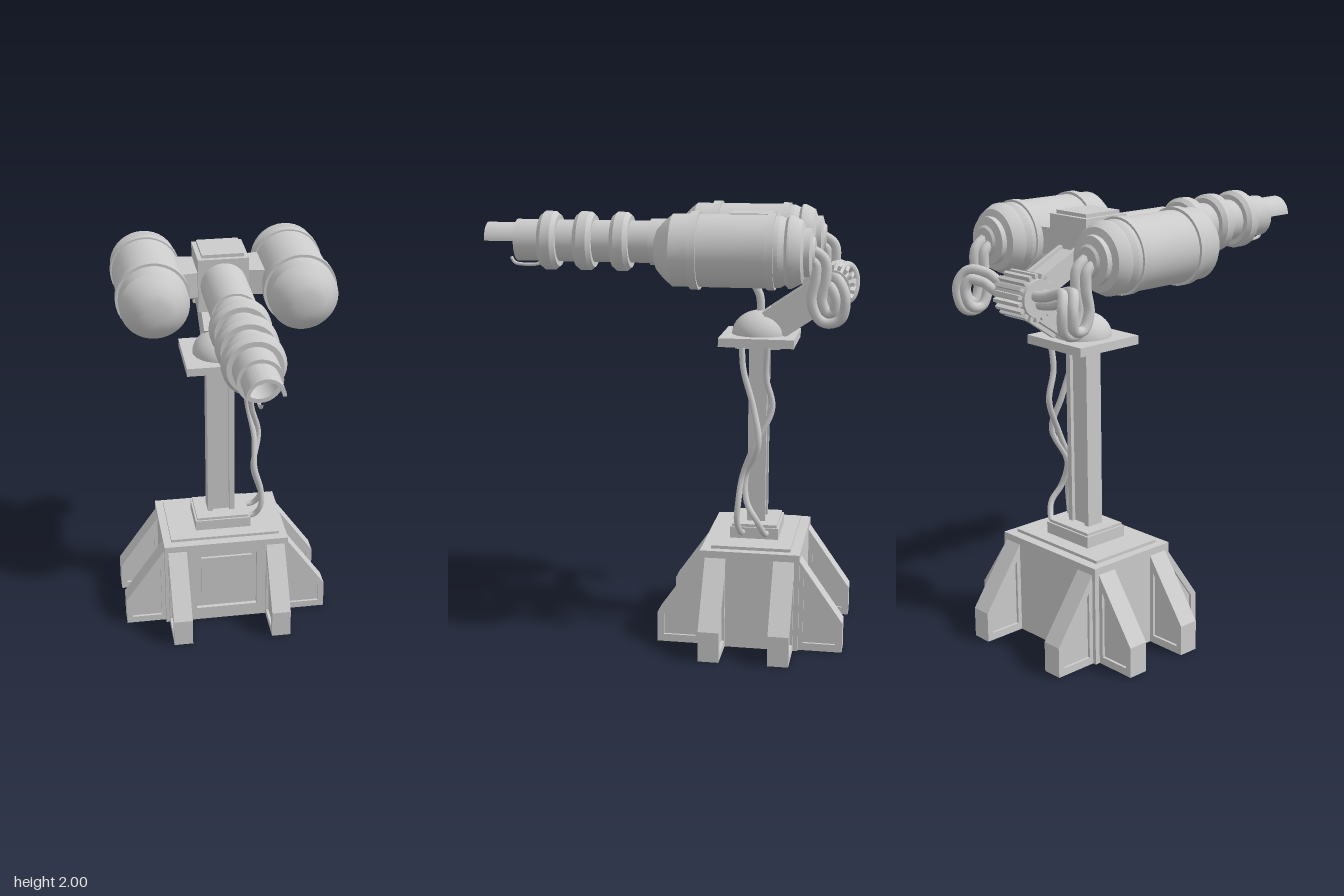
import * as THREE from 'three';
import { toCreasedNormals } from 'three/addons/utils/BufferGeometryUtils.js';

const MID = -0.428;   // z of the stand's axis
const AXIS = 1.828;   // height of barrel and tanks
const GREY = new THREE.MeshStandardMaterial({ color: 0xcccccc });
const GREY_OPEN = new THREE.MeshStandardMaterial({ color: 0xcccccc, side: THREE.DoubleSide });
const V = (x, y, z) => new THREE.Vector3(x, y, z);

export function createModel() {
  const root = new THREE.Group();

  const add = (name, geo, x = 0, y = 0, z = 0, parent = root, mat = GREY) => {
    const m = new THREE.Mesh(geo, mat);
    m.name = name;
    m.position.set(x, y, z);
    parent.add(m);
    return m;
  };
  // box given by size, bottom height and centre
  const block = (name, w, h, d, y, z = MID, x = 0) =>
    add(name, new THREE.BoxGeometry(w, h, d), x, y + h / 2, z);
  // turned part along z; profile is [radius, z] with z rising on the outside
  const turned = (name, profile, x, y, z, seg = 32) => {
    const g = new THREE.LatheGeometry(profile.map(p => new THREE.Vector2(...p)), seg);
    g.rotateX(Math.PI / 2);
    return add(name, toCreasedNormals(g, 0.5), x, y, z);
  };
  const poly = pts => pts.map(p => new THREE.Vector2(...p));
  const plate = (outer, hole, depth) => {
    const s = new THREE.Shape(poly(outer));
    if (hole) s.holes.push(new THREE.Path(poly(hole)));
    return new THREE.ExtrudeGeometry(s, { depth, bevelEnabled: false }).translate(0, 0, -depth / 2);
  };
  const rect = (x, y0, y1) => [[-x, y0], [x, y0], [x, y1], [-x, y1]];
  const tube = (name, pts, r, seg = 60) =>
    add(name, new THREE.TubeGeometry(new THREE.CatmullRomCurve3(pts), seg, r, 8));

  // Base body with a recessed front panel
  block('baseBody', 0.63, 0.458, 0.436, 0, MID - 0.01);
  add('baseFront', plate(rect(0.315, 0, 0.458), rect(0.155, 0.07, 0.39), 0.02), 0, 0, -0.21);
  block('frontPanel', 0.26, 0.28, 0.02, 0.09, -0.217);
  block('baseLid', 0.55, 0.014, 0.365, 0.458);
  block('columnSocket', 0.28, 0.055, 0.225, 0.47);
  block('columnSocketTop', 0.262, 0.014, 0.208, 0.524);

  // Eight buttress feet, two per side, with recessed cheeks
  const finOuter = [[-0.02, 0], [0.2, 0], [0.2, 0.14], [0, 0.425], [-0.02, 0.425]];
  const finHole = [[0.02, 0.035], [0.17, 0.035], [0.17, 0.135], [0.02, 0.345]];
  const finFrame = plate(finOuter, finHole, 0.095);
  const finCore = plate(finOuter.map(([u, v]) => [u * 0.95, v * 0.95 + 0.005]), null, 0.07);
  const buttress = (x, z, turn) => {
    const g = new THREE.Group();
    g.name = 'buttress';
    g.position.set(x, 0, z);
    g.rotation.y = turn;
    add('buttressFrame', finFrame, 0, 0, 0, g);
    add('buttressCore', finCore, 0, 0, 0, g);
    root.add(g);
  };
  for (const s of [1, -1]) for (const t of [1, -1]) {
    buttress(s * 0.315, MID + t * 0.157, s > 0 ? 0 : Math.PI);
    buttress(t * 0.25, MID + s * 0.228, -s * Math.PI / 2);
  }

  // Column: H-beam
  block('columnWeb', 0.11, 0.83, 0.05, 0.535);
  for (const s of [1, -1]) block('columnFlange', 0.026, 0.83, 0.085, 0.535, MID, s * 0.055);

  // Head plate and dome
  block('headPlateUnderside', 0.21, 0.02, 0.205, 1.36);
  block('headPlate', 0.356, 0.04, 0.343, 1.378);
  const dome = add('dome', new THREE.SphereGeometry(0.13, 32, 12, 0, Math.PI * 2, 0, Math.PI / 2), 0, 1.417, MID);
  dome.scale.y = 0.84;

  // Folding arm: a lower and an upper link, each with raised rims
  const link = (name, a, b, width, thick) => {
    const d = b.clone().sub(a), len = d.length();
    const g = new THREE.Group();
    g.name = name;
    g.position.copy(a).add(b).multiplyScalar(0.5);
    g.rotation.x = Math.atan2(-d.y, d.z);
    add('linkCore', new THREE.BoxGeometry(width * 0.7, thick * 0.75, len), 0, 0, 0, g);
    for (const s of [1, -1]) {
      add('linkRail', new THREE.BoxGeometry(width * 0.18, thick, len), s * width * 0.41, 0, 0, g);
      add('linkEnd', new THREE.BoxGeometry(width * 0.7, thick, 0.03), 0, 0, s * (len / 2 - 0.015), g);
    }
    root.add(g);
  };
  const hub = V(0, 1.645, -0.755);
  link('lowerArm', V(0, 1.46, -0.485), hub, 0.14, 0.15);
  link('upperArm', V(0, 1.8, -0.44), V(0, 1.66, -0.73), 0.12, 0.1);

  // Ribbed elbow hub
  add('elbowHub', toCreasedNormals(new THREE.CylinderGeometry(0.082, 0.082, 0.2, 32).rotateZ(Math.PI / 2), 0.5), 0, hub.y, hub.z);
  const ribs = new THREE.Group();
  ribs.name = 'elbowRibs';
  ribs.position.copy(hub);
  for (let i = 0; i < 18; i++) {
    const a = i / 18 * Math.PI * 2;
    const rib = add('rib', new THREE.BoxGeometry(0.17, 0.03, 0.016), 0, Math.cos(a) * 0.088, Math.sin(a) * 0.088, ribs);
    rib.rotation.x = a;
  }
  root.add(ribs);

  // Receiver block with stepped top and side brackets to the tanks
  block('receiver', 0.236, 0.255, 0.235, 1.7, -0.388);
  block('receiverTop', 0.195, 0.018, 0.195, 1.953, -0.388);
  for (const s of [1, -1]) {
    const bracket = plate([[0, -0.1], [0.1, -0.115], [0.1, 0.115], [0, 0.1]], null, 0.12);
    bracket.rotateX(Math.PI / 2);
    const m = add('tankBracket', bracket, s * 0.11, AXIS, -0.388);
    m.rotation.z = s > 0 ? 0 : Math.PI;
  }

  // Barrel, sleeve, rings and cut-away muzzle
  turned('barrelSleeve', [[0, -0.3], [0.107, -0.3], [0.107, 0.08], [0.09, 0.08]], 0, AXIS, 0);
  turned('barrel', [[0.097, 0], [0.097, 0.715], [0.078, 0.715], [0.078, 0.6], [0, 0.6]], 0, AXIS, 0);
  for (const z of [0.215, 0.387, 0.556])
    turned('barrelRing', [[0.095, -0.042], [0.12, -0.042], [0.136, -0.022], [0.136, 0.022], [0.12, 0.042], [0.095, 0.042]], 0, AXIS, z);
  const half = new THREE.Shape();
  half.absarc(0, 0, 0.081, 0, Math.PI, false);
  half.absarc(0, 0, 0.066, Math.PI, 0, true);
  add('muzzleShroud', toCreasedNormals(new THREE.ExtrudeGeometry(half, { depth: 0.255, bevelEnabled: false, curveSegments: 20 }), 0.5), 0, AXIS, 0.603, root, GREY_OPEN);
  tube('muzzleHook', [V(0, 1.735, 0.6), V(0, 1.718, 0.62), V(0, 1.715, 0.71), V(0, 1.722, 0.735), V(0, 1.748, 0.752)], 0.008, 24);

  // Twin tanks and their hose bundles
  const tank = [[0, -0.7], [0.06, -0.7], [0.07, -0.69], [0.105, -0.68], [0.105, -0.655], [0.135, -0.645], [0.158, -0.6], [0.158, -0.588], [0.142, -0.575],
    [0.155, -0.55], [0.155, -0.53], [0.165, -0.53], [0.165, -0.495], [0.158, -0.495],
    [0.158, -0.2], [0.17, -0.2], [0.17, -0.163], [0.158, -0.163], [0.158, -0.082], [0.127, -0.045], [0.09, -0.012], [0.053, 0], [0, 0]];
  for (const s of [1, -1]) {
    turned('tank', tank, s * 0.338, AXIS, 0, 36);
    const path = new THREE.CatmullRomCurve3([
      [0.335, 1.82, -0.68], [0.335, 1.79, -0.72], [0.335, 1.72, -0.725], [0.335, 1.62, -0.71], [0.335, 1.55, -0.745],
      [0.34, 1.56, -0.8], [0.35, 1.64, -0.815], [0.325, 1.69, -0.79], [0.25, 1.68, -0.755], [0.17, 1.655, -0.755], [0.08, 1.645, -0.755],
    ].map(([x, y, z]) => V(s * x, y, z)));
    const n = 44, frames = path.computeFrenetFrames(n);
    for (let k = 0; k < 3; k++) {
      const a = k / 3 * Math.PI * 2;
      const pts = Array.from({ length: n + 1 }, (_, i) => path.getPointAt(i / n)
        .addScaledVector(frames.normals[i], Math.cos(a) * 0.025)
        .addScaledVector(frames.binormals[i], Math.sin(a) * 0.025));
      tube('hose', pts, 0.023, 90);
    }
  }

  // Feed cable from dome to receiver, and two twisted cables beside the column
  tube('feedCable', [V(0, 1.72, -0.36), V(0, 1.66, -0.39), V(0, 1.59, -0.425), V(0, 1.5, -0.43)], 0.019, 24);
  tube('columnCable', [V(0.135, 1.39, -0.36), V(0.14, 1.27, -0.37), V(0.16, 1.1, -0.42), V(0.2, 0.94, -0.45), V(0.165, 0.78, -0.39),
    V(0.195, 0.66, -0.4), V(0.215, 0.58, -0.45), V(0.18, 0.51, -0.48), V(0.13, 0.5, -0.485)], 0.014);
  tube('columnCable', [V(0.165, 1.39, -0.48), V(0.15, 1.24, -0.475), V(0.15, 1.1, -0.505), V(0.175, 0.93, -0.43), V(0.17, 0.78, -0.375),
    V(0.2, 0.66, -0.36), V(0.2, 0.57, -0.355), V(0.17, 0.51, -0.37), V(0.13, 0.5, -0.375)], 0.014);

  return root;
}
